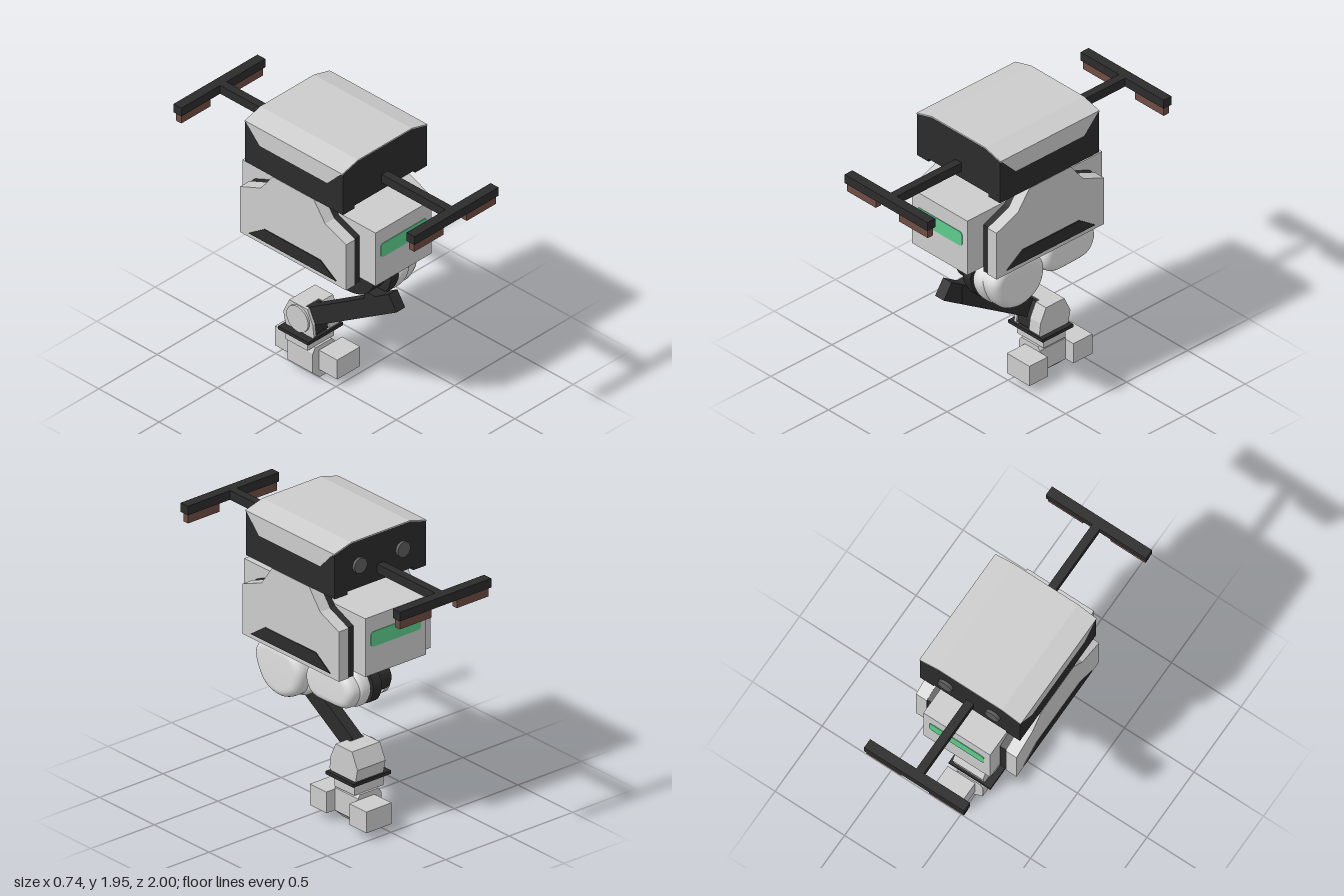
import * as THREE from 'three';
import { toCreasedNormals } from 'three/addons/utils/BufferGeometryUtils.js';

const mat = (name, color, double) => {
  const m = new THREE.MeshStandardMaterial({ color });
  m.name = name;
  if (double) m.side = THREE.DoubleSide;
  return m;
};

export function createModel() {
  const root = new THREE.Group();
  root.name = 'hangingRobot';
  const light = mat('light grey shell', 0xcccccc);
  const pale = mat('pale motor cover', 0xdedede);
  const dark = mat('dark frame', 0x2b2b2b);
  const green = mat('green strip', 0x5dcc8c);
  const brown = mat('brown pad', 0x6e4c41);
  const grey = mat('grey lens', 0x5c5c5c);

  const add = (name, geo, material, parent = root) => {
    const mesh = new THREE.Mesh(geo, material);
    mesh.name = name;
    parent.add(mesh);
    return mesh;
  };
  // Box given by its limits on each axis
  const box = (name, material, x0, x1, y0, y1, z0, z1, parent) =>
    add(name, new THREE.BoxGeometry(x1 - x0, y1 - y0, z1 - z0)
      .translate((x0 + x1) / 2, (y0 + y1) / 2, (z0 + z1) / 2), material, parent);
  const toShape = (pts) => new THREE.Shape(pts.map(([a, b]) => new THREE.Vector2(a, b)));
  // Prism along x from a [z, y] outline
  const prismX = (pts, x0, x1, bevel = 0) => {
    const geo = new THREE.ExtrudeGeometry(toShape(pts.map(([z, y]) => [-z, y])), {
      depth: x1 - x0 - 2 * bevel, bevelEnabled: bevel > 0, bevelSize: bevel,
      bevelThickness: bevel, bevelOffset: -bevel, bevelSegments: 6,
    });
    geo.rotateY(Math.PI / 2).translate(x0 + bevel, 0, 0);
    return bevel > 0 ? toCreasedNormals(geo, 0.8) : geo;
  };
  // Prism along z from an [x, y] outline
  const prismZ = (pts, z0, z1) => new THREE.ExtrudeGeometry(toShape(pts),
    { depth: z1 - z0, bevelEnabled: false }).translate(0, 0, z0);
  // Closed smooth outline through a few points
  const smooth = (pts, n = 48) => new THREE.CatmullRomCurve3(
    pts.map(([a, b]) => new THREE.Vector3(a, b, 0)), true).getPoints(n).slice(0, -1).map((p) => [p.x, p.y]);

  // Head: dark housing with a thin light cap and side flaps
  add('headHousing', prismZ([[-0.36, 1.62], [-0.26, 1.62], [-0.26, 1.64], [0.26, 1.64], [0.26, 1.62],
    [0.36, 1.62], [0.36, 1.913], [0.23, 1.949], [-0.23, 1.949], [-0.36, 1.913]], -0.405, 0.405), dark);
  add('headCap', prismZ([[0.364, 1.91], [0.364, 1.919], [0.23, 1.956], [-0.23, 1.956], [-0.364, 1.919],
    [-0.364, 1.91], [-0.36, 1.913], [-0.23, 1.949], [0.23, 1.949], [0.36, 1.913]], -0.405, 0.405), light);
  for (const s of [-1, 1]) {
    add('headSideFlap', prismX([[0.4, 1.919], [0.28, 1.795], [-0.28, 1.795], [-0.4, 1.919]],
      s > 0 ? 0.36 : -0.365, s > 0 ? 0.365 : -0.36), light);
    add('lens', new THREE.CylinderGeometry(0.05, 0.05, 0.03, 24).rotateX(Math.PI / 2)
      .translate(s * 0.17, 1.79, -0.41), grey);
  }

  // Bumper arms at both ends, with brown pads
  for (const s of [-1, 1]) {
    const zs = (a, b) => (s > 0 ? [a, b] : [-b, -a]);
    box('bumperArm', dark, -0.027, 0.027, 1.69, 1.75, ...zs(0.4, 0.95));
    box('bumperBar', dark, -0.36, 0.36, 1.69, 1.75, ...zs(0.935, 1));
    box('bumperPad', brown, -0.35, -0.1, 1.63, 1.69, ...zs(0.945, 0.988));
    box('bumperPad', brown, 0.1, 0.35, 1.63, 1.69, ...zs(0.945, 0.988));
  }

  // Central body with a rounded green strip on each end
  box('bodyBox', light, -0.24, 0.24, 1.12, 1.505, -0.545, 0.56);
  const strip = new THREE.Shape();
  strip.absarc(0.175, 1.325, 0.022, -Math.PI / 2, 0);
  strip.absarc(0.175, 1.38, 0.022, 0, Math.PI / 2);
  strip.absarc(-0.175, 1.38, 0.022, Math.PI / 2, Math.PI);
  strip.absarc(-0.175, 1.325, 0.022, Math.PI, Math.PI * 1.5);
  for (const z of [-0.549, 0.558]) {
    add('greenStrip', new THREE.ExtrudeGeometry(strip, { depth: 0.006, bevelEnabled: false })
      .translate(0, 0, z), green);
  }

  // Side panels: dark inner layer, light outer layer, dark lower vent
  const side = [[0.435, 1.09], [0.435, 1.42], [0.26, 1.49], [0.165, 1.62],
    [-0.175, 1.62], [-0.275, 1.49], [-0.445, 1.42], [-0.445, 1.09]];
  const vent = [[0.355, 1.12], [0.225, 1.21], [-0.24, 1.21], [-0.37, 1.12]];
  for (const s of [-1, 1]) {
    const layer = (name, pts, a, b, m) => add(name, s > 0 ? prismX(pts, a, b) : prismX(pts, -b, -a), m);
    layer('sidePanelInner', side.map(([z, y]) => [z * 0.985, y]), 0.24, 0.285, dark);
    layer('sidePanelOuter', side, 0.285, 0.362, light);
    layer('sideVent', vent, 0.362, 0.368, dark);
  }

  // Hip motor: dark layers with a smooth twin-lobed cover
  const motor = smooth([[0.41, 0.98], [0.33, 1.08], [0.18, 1.095], [-0.05, 1.085], [-0.25, 1.095], [-0.41, 1.08],
    [-0.47, 0.98], [-0.42, 0.865], [-0.25, 0.84], [-0.05, 0.83], [0.05, 0.77], [0.18, 0.745], [0.31, 0.785], [0.39, 0.88]], 72);
  const frontLobe = smooth([[0.4, 0.98], [0.33, 1.075], [0.18, 1.09], [0.05, 1.07], [-0.02, 0.97],
    [0.01, 0.83], [0.1, 0.765], [0.2, 0.75], [0.32, 0.8]]);
  const rearLobe = smooth([[-0.035, 0.95], [-0.07, 1.05], [-0.18, 1.085], [-0.39, 1.075],
    [-0.46, 0.98], [-0.41, 0.87], [-0.25, 0.845], [-0.09, 0.86]]);
  add('motorCore', prismX(motor.map(([z, y]) => [z * 0.92 - 0.005, 0.94 + (y - 0.94) * 0.8 + 0.02]), -0.06, 0.05), dark);
  add('motorPlate', prismX(motor, 0.045, 0.112), dark);
  add('motorCover', prismX(motor, 0.108, 0.225, 0.045), pale);
  add('motorFrontLobe', prismX(frontLobe, 0.13, 0.315, 0.055), pale);
  add('motorRearLobe', prismX(rearLobe, 0.13, 0.29, 0.05), pale);
  box('hipMount', dark, -0.06, 0.045, 0.95, 1.12, -0.3, 0.34);
  add('motorDisc', new THREE.CylinderGeometry(0.115, 0.115, 0.035, 32).rotateZ(Math.PI / 2)
    .translate(-0.072, 0.945, -0.28), light);

  // Slanted leg bar
  add('legBar', prismX([[0.55, 0.83], [0.485, 0.93], [-0.22, 0.49], [-0.16, 0.39]], -0.05, 0.025), dark);
  box('legBarBlock', dark, -0.05, 0.03, 0.74, 0.86, 0.28, 0.4);

  // Knee housing around the bar
  const knee = [[-0.115, 0.34], [-0.125, 0.42], [-0.17, 0.515], [-0.32, 0.515], [-0.37, 0.41], [-0.35, 0.32], [-0.13, 0.32]];
  add('kneeOuter', prismX(knee, 0.06, 0.15), light);
  add('kneeInner', prismX(knee, -0.07, -0.05), light);
  add('kneeBack', prismX([[-0.2, 0.515], [-0.32, 0.515], [-0.37, 0.41], [-0.35, 0.32], [-0.2, 0.32]], -0.05, 0.06), light);
  add('kneeFork', prismX([[-0.125, 0.34], [-0.135, 0.42], [-0.18, 0.51], [-0.2, 0.51], [-0.2, 0.325]], -0.05, 0.06), dark);
  add('kneeDisc', new THREE.CylinderGeometry(0.09, 0.09, 0.015, 32).rotateZ(Math.PI / 2)
    .translate(-0.077, 0.42, -0.24), light);

  // Ankle: dark plate and neck
  box('anklePlate', dark, -0.12, 0.18, 0.304, 0.326, -0.365, -0.115);
  box('ankleNeck', light, -0.085, 0.145, 0.23, 0.305, -0.335, -0.155);

  // Foot: chamfered core with two gripping blocks
  add('footCore', prismZ([[-0.055, 0.2], [-0.055, 0.06], [0.005, 0.003], [0.07, 0.003], [0.13, 0.06],
    [0.13, 0.21], [0.11, 0.232], [-0.035, 0.232]], -0.35, -0.14), light);
  box('footBlockFront', light, 0, 0.197, 0.06, 0.2, -0.14, 0.01);
  box('footBlockBack', light, 0, 0.197, 0.06, 0.2, -0.505, -0.35);
  return root;
}
